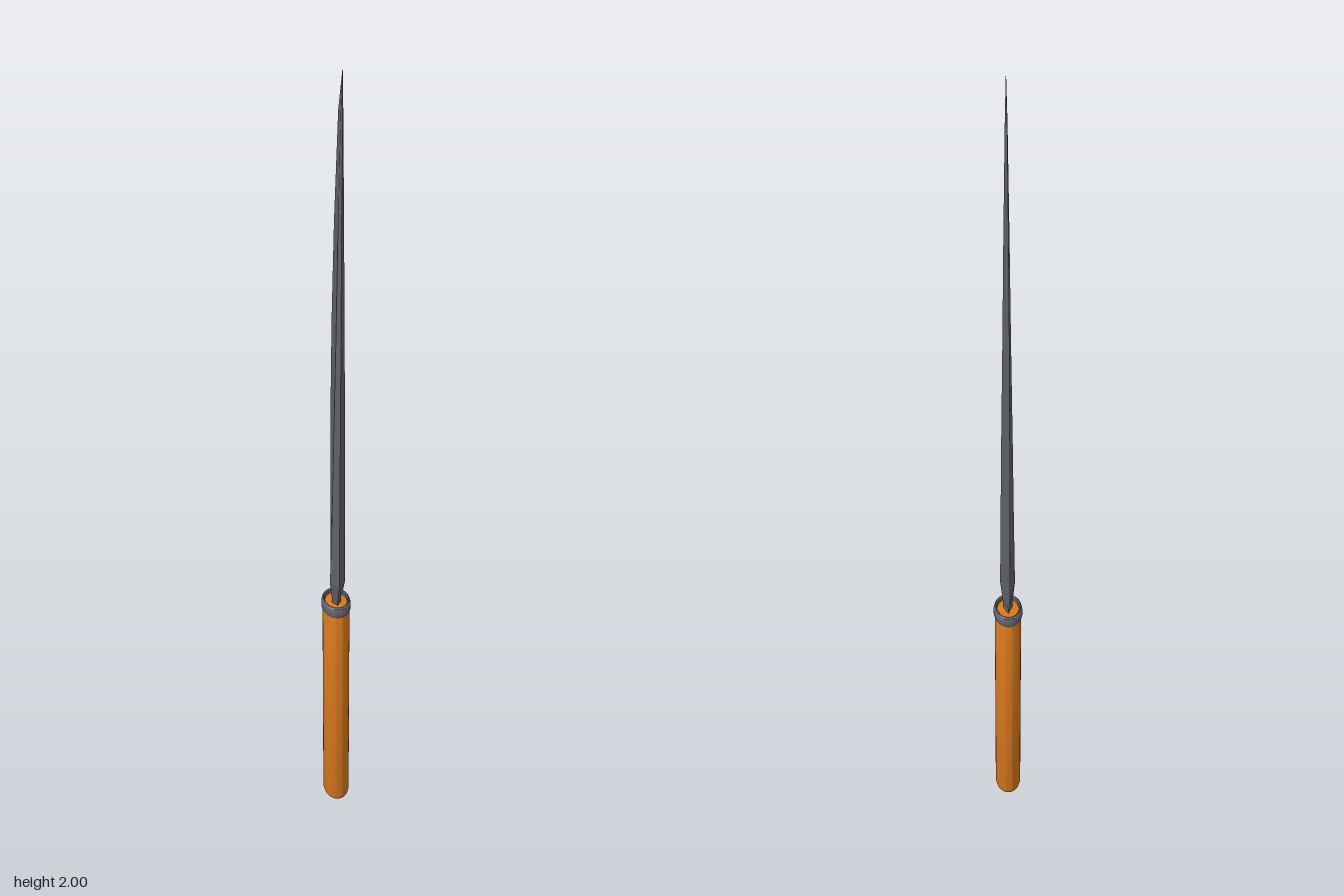
import * as THREE from 'three';
import { toCreasedNormals } from 'three/addons/utils/BufferGeometryUtils.js';

const steel = new THREE.MeshStandardMaterial({ color: 0x62626c });
const wood = new THREE.MeshStandardMaterial({ color: 0xd9791e });

// Oval turned part: profile is [half width in x, y], stretched along z
function ovalLathe(name, profile, stretch, material) {
  const points = profile.map(([r, y]) => new THREE.Vector2(r, y));
  const geometry = new THREE.LatheGeometry(points, 32).scale(1, 1, stretch);
  const mesh = new THREE.Mesh(toCreasedNormals(geometry, 0.6), material);
  mesh.name = name;
  return mesh;
}

// Blade: four-cornered sections (spine, ridge, edge, ridge) joined in loops
function bladeGeometry() {
  // [y, spine z, edge z, ridge z, half thickness]
  const sections = [
    [0.61, 0.022, -0.02, 0.005, 0.011],
    [0.635, 0.026, -0.023, 0.008, 0.012],
    [0.69, 0.049, -0.082, 0.022, 0.019],
    [0.85, 0.054, -0.083, 0.036, 0.017],
    [1.1, 0.061, -0.082, 0.048, 0.014],
    [1.38, 0.068, -0.061, 0.058, 0.01],
    [1.63, 0.073, -0.027, 0.066, 0.007],
    [1.9, 0.083, 0.028, 0.075, 0.003],
    [2.0, 0.084, 0.08, 0.082, 0.0005],
  ];
  const positions = [];
  const index = [];
  for (const [y, spine, edge, ridge, t] of sections) {
    positions.push(0, y, spine, t, y, ridge, 0, y, edge, -t, y, ridge);
  }
  for (let s = 0; s < sections.length - 1; s++) {
    for (let i = 0; i < 4; i++) {
      const a = s * 4 + i;
      const b = s * 4 + (i + 1) % 4;
      index.push(a, b, b + 4, a, b + 4, a + 4);
    }
  }
  const top = (sections.length - 1) * 4;
  index.push(0, 2, 1, 0, 3, 2, top, top + 1, top + 2, top, top + 2, top + 3);
  const geometry = new THREE.BufferGeometry();
  geometry.setAttribute('position', new THREE.Float32BufferAttribute(positions, 3));
  geometry.setIndex(index);
  return toCreasedNormals(geometry, 0.2);
}

export function createModel() {
  const model = new THREE.Group();
  model.name = 'knife';

  // Oval grip with a bevelled butt and a slightly raised top
  model.add(ovalLathe('handle', [
    [0, 0], [0.025, 0], [0.031, 0.005], [0.034, 0.016],
    [0.034, 0.6], [0.031, 0.618], [0, 0.622],
  ], 1.47, wood));

  // Rounded metal ring around the top of the grip
  model.add(ovalLathe('collar', [
    [0.03, 0.6], [0.035, 0.6], [0.037, 0.607], [0.037, 0.618],
    [0.035, 0.626], [0.032, 0.629], [0.029, 0.627], [0.028, 0.618], [0.03, 0.6],
  ], 1.47, steel));

  const blade = new THREE.Mesh(bladeGeometry(), steel);
  blade.name = 'blade';
  model.add(blade);

  return model;
}
